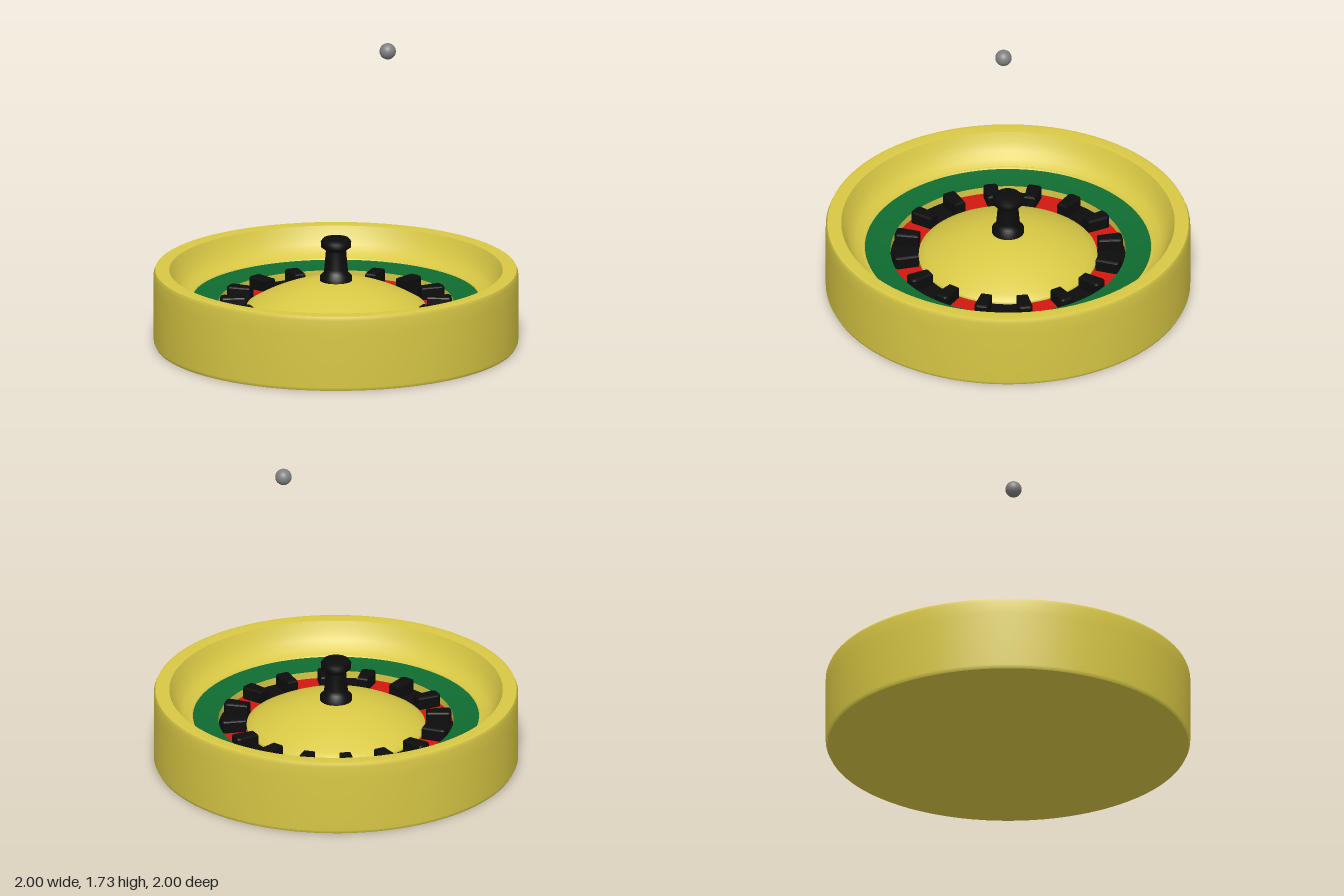
import * as THREE from 'three';

const paint = (color) => new THREE.MeshStandardMaterial({ color });
const gold = paint(0xd8c845);
const green = paint(0x0f6b30);
const red = paint(0xd01810);
const black = paint(0x0c0c0c);
const steel = paint(0x808080);

const SECTORS = 16;
const STEP = (Math.PI * 2) / SECTORS;
const START = THREE.MathUtils.degToRad(87);
const FLOOR = 0.2;

function add(parent, name, geometry, material) {
  const mesh = new THREE.Mesh(geometry, material);
  mesh.name = name;
  parent.add(mesh);
  return mesh;
}

// Profiles run from the bottom, outwards, up and back in
function turned(parent, name, points, material, segments = 96) {
  const profile = points.map(([r, y]) => new THREE.Vector2(r, y));
  return add(parent, name, new THREE.LatheGeometry(profile, segments), material);
}

// Wedge that widens outwards, with rounded corners in plan
function dividerGeometry() {
  const inner = 0.5, outer = 0.635, bevel = 0.01;
  const a = inner * 0.064 - bevel, b = outer * 0.064 - bevel;
  const x0 = inner + bevel, x1 = outer - bevel, c = 0.012;
  const s = new THREE.Shape();
  s.moveTo(x0, -a);
  s.lineTo(x1 - c, -b);
  s.quadraticCurveTo(x1, -b, x1, -b + c);
  s.lineTo(x1, b - c);
  s.quadraticCurveTo(x1, b, x1 - c, b);
  s.lineTo(x0, a);
  s.closePath();
  const g = new THREE.ExtrudeGeometry(s, {
    depth: 0.06, bevelEnabled: true, bevelSize: bevel, bevelThickness: bevel,
    bevelSegments: 2, curveSegments: 4,
  });
  return g.rotateX(-Math.PI / 2).translate(0, FLOOR, 0);
}

export function createModel() {
  const wheel = new THREE.Group();
  wheel.name = 'rouletteWheel';

  // Outer bowl
  turned(wheel, 'bowlBase', [[0, 0], [0.99, 0]], gold);
  turned(wheel, 'bowlSide', [[0.99, 0], [1, 0.02], [1, 0.33], [1, 0.4], [0.992, 0.42]], gold);
  turned(wheel, 'bowlRim', [[0.992, 0.42], [0.97, 0.425], [0.915, 0.42]], gold);
  turned(wheel, 'bowlWall', [
    [0.915, 0.42], [0.895, 0.37], [0.87, 0.325], [0.84, 0.29], [0.8, 0.268],
  ], gold);
  turned(wheel, 'trackLip', [[0.8, 0.268], [0.792, 0.272], [0.785, 0.262]], gold);

  // Green track and the step down to the pockets
  turned(wheel, 'greenTrack', [[0.785, 0.262], [0.72, 0.247], [0.645, 0.24]], green);
  turned(wheel, 'pocketWall', [[0.645, 0.24], [0.645, FLOOR]], gold);

  // Alternating pockets with a divider on every boundary
  const pockets = new THREE.Group();
  pockets.name = 'pockets';
  wheel.add(pockets);
  const divider = dividerGeometry();
  for (let i = 0; i < SECTORS; i++) {
    const angle = START + i * STEP;
    const floor = new THREE.RingGeometry(0.485, 0.645, 8, 1, angle - STEP / 2, STEP);
    floor.rotateX(-Math.PI / 2).translate(0, FLOOR, 0);
    add(pockets, 'pocketFloor', floor, i % 2 ? red : black);
    add(pockets, 'divider', divider, black).rotation.y = angle + STEP / 2;
  }

  // Domed centre
  const dome = [[0.49, FLOOR], [0.49, 0.215]];
  for (let i = 1; i <= 12; i++) {
    const r = 0.49 * (1 - i / 12);
    dome.push([r, 0.215 + 0.15 * (1 - (r / 0.49) ** 2)]);
  }
  turned(wheel, 'dome', dome, gold);

  // Turned knob
  turned(wheel, 'knob', [
    [0.088, 0.345], [0.088, 0.385], [0.068, 0.405], [0.064, 0.43], [0.056, 0.525],
    [0.06, 0.535], [0.082, 0.55], [0.084, 0.58], [0.07, 0.598], [0, 0.6],
  ], black, 32);

  // Ball above the wheel
  add(wheel, 'ball', new THREE.SphereGeometry(0.045, 32, 20), steel).position.set(0.225, 1.68, -0.185);

  return wheel;
}
